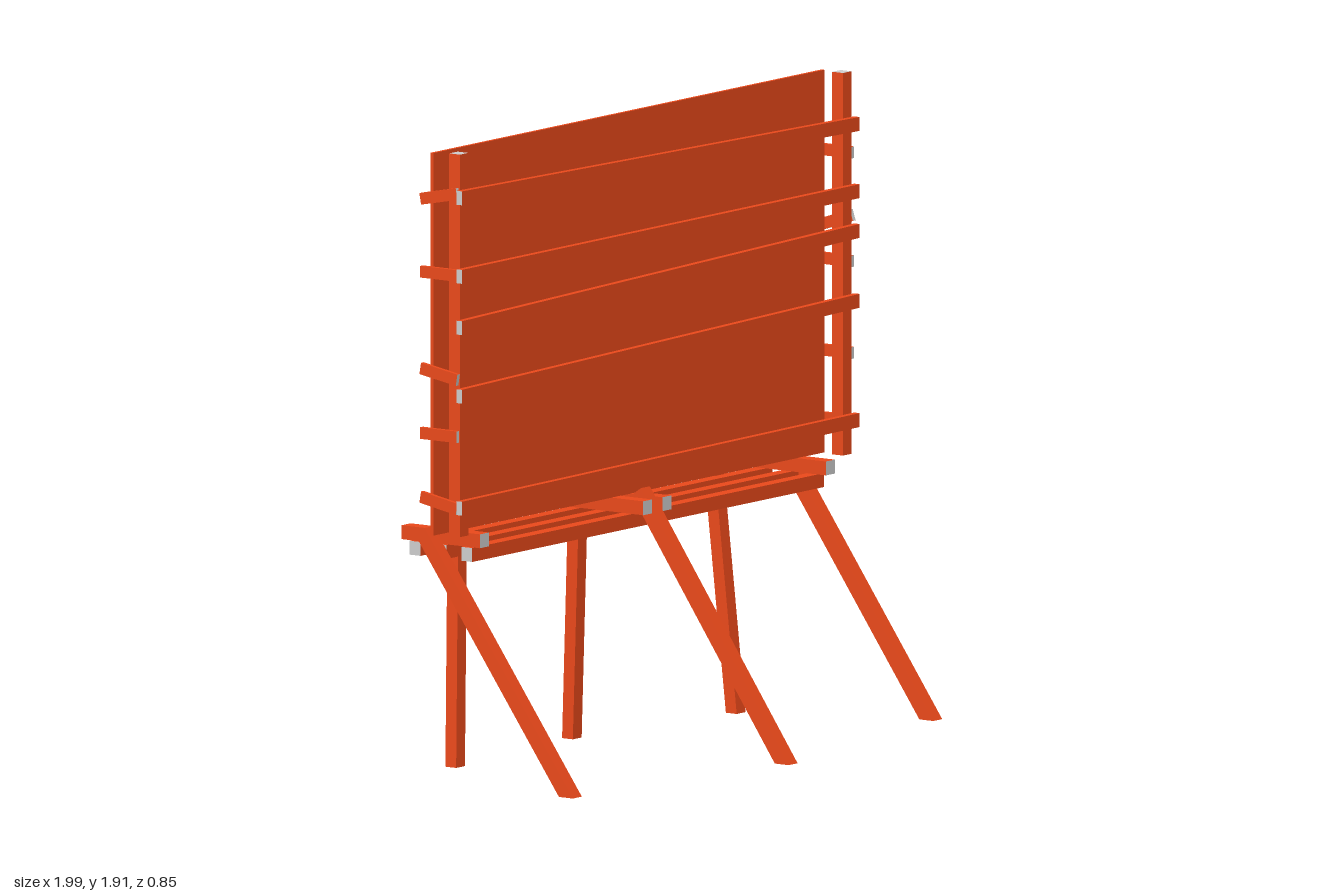
import * as THREE from 'three';

const paint = new THREE.MeshStandardMaterial({ color: 0xe8481a });
const endGrain = new THREE.MeshStandardMaterial({ color: 0xcccccc });
const timber = [paint, paint, paint, paint, endGrain, endGrain];

// Square-cut timber from a to b; w is the side-to-side size, h the other one.
// With grounded set, the end at b is trimmed flush with y = 0.
function beam(name, a, b, w, h, grounded = false) {
  const from = new THREE.Vector3(...a), to = new THREE.Vector3(...b);
  const dir = to.clone().sub(from);
  const len = dir.length();
  dir.normalize();
  const hint = Math.abs(dir.x) > 0.9 ? new THREE.Vector3(0, 0, 1) : new THREE.Vector3(1, 0, 0);
  const up = dir.clone().cross(hint).normalize();
  const side = up.clone().cross(dir);
  const geo = new THREE.BoxGeometry(w, h, len);
  geo.applyMatrix4(new THREE.Matrix4().makeBasis(side, up, dir));
  const mid = from.clone().add(to).multiplyScalar(0.5);
  geo.translate(mid.x, mid.y, mid.z);
  if (grounded) {
    const pos = geo.attributes.position;
    const v = new THREE.Vector3();
    for (let i = 0; i < pos.count; i++) {
      v.fromBufferAttribute(pos, i);
      if (v.clone().sub(mid).dot(dir) > 0) {
        v.addScaledVector(dir, -v.y / dir.y);
        pos.setXYZ(i, v.x, v.y, v.z);
      }
    }
    geo.computeVertexNormals();
  }
  const mesh = new THREE.Mesh(geo, timber);
  mesh.name = name;
  return mesh;
}

function group(name, ...parts) {
  const g = new THREE.Group();
  g.name = name;
  g.add(...parts);
  return g;
}

export function createModel() {
  // Thin board behind the frame
  const panel = new THREE.Mesh(new THREE.BoxGeometry(1.955, 1.155, 0.011), paint);
  panel.name = 'panel';
  panel.position.set(0, 1.332, -0.204);

  const posts = [-0.96, 0.955].map((x) =>
    beam('post', [x, 1.915, -0.117], [x, 0.76, -0.117], 0.042, 0.04));

  // Slightly crooked slats across the front: height at left and right end
  const frontSlats = [[1.787, 1.756], [1.55, 1.553], [1.395, 1.433], [1.188, 1.222], [0.85, 0.862]]
    .map(([y0, y1]) => beam('frontSlat', [-0.998, y0, -0.087], [0.99, y1, -0.087], 0.02, 0.042));

  // Short side slats: side, height at front and back
  const sideSlats = [
    [1, 1.668, 1.668], [1, 1.48, 1.435], [1, 1.34, 1.34], [1, 1.063, 1.063], [1, 0.858, 0.858],
    [-1, 1.797, 1.77], [-1, 1.55, 1.55], [-1, 1.235, 1.258], [-1, 1.063, 1.063], [-1, 0.845, 0.87],
  ].map(([s, y0, y1]) =>
    beam('sideSlat', [s * 0.987, y0, -0.1], [s * 0.987, y1, -0.235], 0.014, 0.035));

  // Platform: three long rails under four crosspieces
  const rails = [-0.148, -0.243, -0.34].map((z) =>
    beam('rail', [-0.878, 0.69, z], [0.882, 0.69, z], 0.04, 0.042));
  const crosspieces = [[-0.855, -0.39, -0.1], [-0.065, -0.417, -0.08], [0.031, -0.417, -0.08], [0.862, -0.38, -0.09]]
    .map(([x, z0, z1]) => beam('crosspiece', [x, 0.734, z1], [x, 0.734, z0], 0.045, 0.042));

  // Raking props in front
  const frontLegs = [
    [[-0.903, 0.752, -0.287], [-0.903, 0, 0.255]],
    [[-0.015, 0.772, -0.143], [-0.015, 0, 0.397]],
    [[0.91, 0.752, -0.29], [0.91, 0, 0.247]],
  ].map(([a, b]) => beam('frontLeg', a, b, 0.045, 0.042, true));

  // Steeper legs behind
  const rearLegs = [
    [[-0.615, 0.718, -0.379], [-0.648, 0, -0.362]],
    [[-0.012, 0.764, -0.377], [-0.008, 0, -0.404]],
    [[0.667, 0.718, -0.377], [0.667, 0, -0.297]],
  ].map(([a, b]) => beam('rearLeg', a, b, 0.044, 0.04, true));

  return group('billboard',
    panel,
    group('frame', ...posts, ...frontSlats, ...sideSlats),
    group('platform', ...rails, ...crosspieces),
    group('legs', ...frontLegs, ...rearLegs));
}
